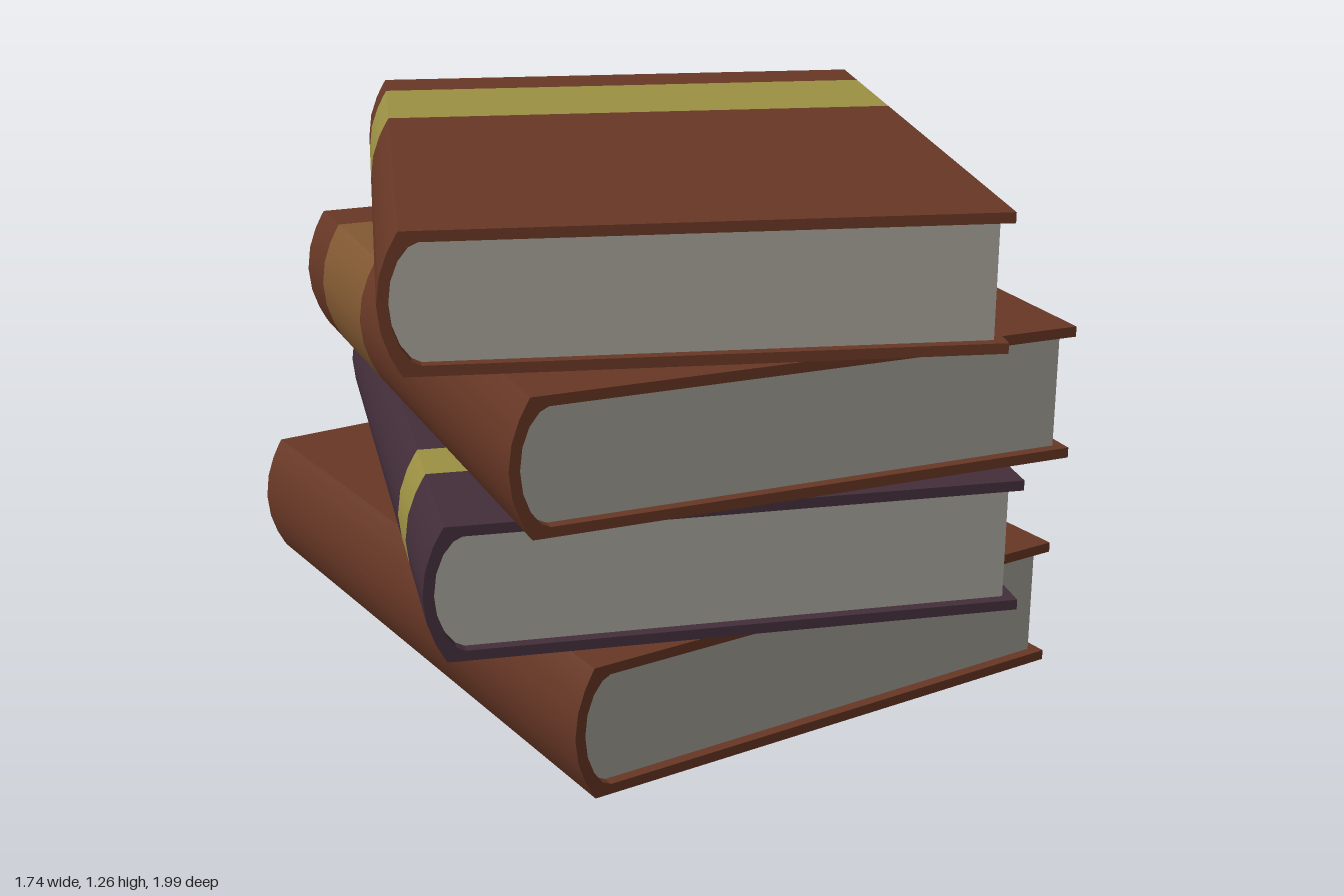
import * as THREE from 'three';
import { toCreasedNormals } from 'three/addons/utils/BufferGeometryUtils.js';

const material = (name, color) => {
  const m = new THREE.MeshStandardMaterial({ color });
  m.name = name;
  return m;
};

const W = 0.675;       // half width, spine at -x
const L = 0.84;        // half length
const H = 0.157;       // half thickness
const BOARD = 0.024;   // cover board thickness
const INSET = 0.026;   // pages set back from the cover edges
const SEGMENTS = 8;

// Points down a rounded spine, from top to bottom
function spineCurve(x, bulge, h, power) {
  const points = [];
  for (let i = 0; i <= SEGMENTS; i++) {
    const a = (i / SEGMENTS) * Math.PI - Math.PI / 2;
    const t = -Math.sin(a);
    points.push(new THREE.Vector2(x - bulge * Math.pow(Math.max(0, 1 - t * t), power), t * h));
  }
  return points;
}

const v = (x, y) => new THREE.Vector2(x, y);
const innerH = H - BOARD;
const outerSpine = spineCurve(-W + 0.05, 0.05, H, 1);
const innerSpine = spineCurve(-W + 0.09, 0.065, innerH, 0.6);

// C-shaped case and D-shaped page block, both seen along the book's length
const coverShape = new THREE.Shape([
  v(W, H), ...outerSpine, v(W, -H), v(W, -innerH), ...innerSpine.slice().reverse(), v(W, innerH),
]);
const pageShape = new THREE.Shape([v(W - INSET, innerH), ...innerSpine, v(W - INSET, -innerH)]);

function extrude(shape, z0, z1, mat, name) {
  const geo = new THREE.ExtrudeGeometry(shape, { depth: z1 - z0, bevelEnabled: false });
  geo.translate(0, 0, z0);
  const mesh = new THREE.Mesh(toCreasedNormals(geo, 0.4), mat);
  mesh.name = name;
  return mesh;
}

export function createModel() {
  const brown = material('brown leather', 0x673725);
  const purple = material('dark purple leather', 0x432e3a);
  const yellow = material('yellow band', 0x9c9043);
  const tan = material('tan band', 0x825932);
  const paper = material('paper', 0xa29f96);

  // Books from bottom to top; band is its start and end along the length
  const books = [
    { name: 'bottomBook', x: 0, z: -0.01, turn: 15, cover: brown },
    { name: 'secondBook', x: 0.015, z: 0.06, turn: -5, cover: purple, band: [0.36, 0.52], bandMat: yellow },
    { name: 'thirdBook', x: 0.03, z: 0.075, turn: 5, cover: brown, band: [-0.68, -0.31], bandMat: tan },
    { name: 'topBook', x: 0.02, z: 0.045, turn: -10, cover: brown, band: [-0.68, -0.31], bandMat: yellow },
  ];

  const model = new THREE.Group();
  model.name = 'bookStack';
  books.forEach((b, i) => {
    const book = new THREE.Group();
    book.name = b.name;
    book.add(extrude(pageShape, -L + INSET, L - INSET, paper, 'pages'));
    if (b.band) {
      // The band wraps the whole case, so the case is made in three lengths
      book.add(extrude(coverShape, -L, b.band[0], b.cover, 'coverBack'));
      book.add(extrude(coverShape, b.band[0], b.band[1], b.bandMat, 'coverBand'));
      book.add(extrude(coverShape, b.band[1], L, b.cover, 'coverFront'));
    } else {
      book.add(extrude(coverShape, -L, L, b.cover, 'cover'));
    }
    book.position.set(b.x, H + i * 2 * H, b.z);
    book.rotation.y = THREE.MathUtils.degToRad(b.turn);
    model.add(book);
  });
  return model;
}
